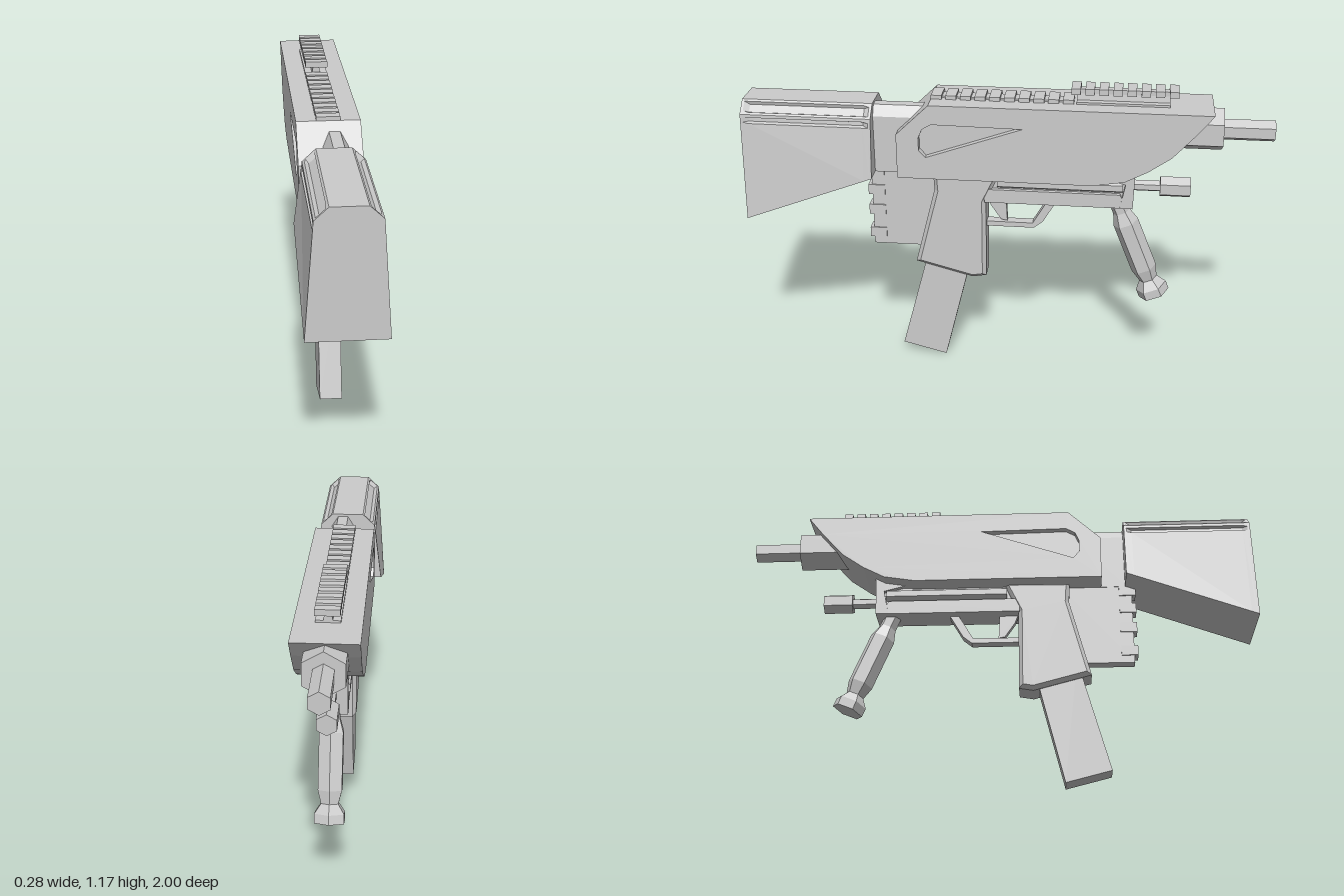
import * as THREE from 'three';

const mat = new THREE.MeshStandardMaterial({ color: 0xcccccc, flatShading: true });
const matDouble = new THREE.MeshStandardMaterial({ color: 0xcccccc, flatShading: true, side: THREE.DoubleSide });
const vecs = pts => pts.map(([a, b]) => new THREE.Vector2(a, b));

export function createModel() {
  const root = new THREE.Group();

  const add = (name, geo, x = 0, y = 0, z = 0, material = mat) => {
    const mesh = new THREE.Mesh(geo, material);
    mesh.name = name;
    mesh.position.set(x, y, z);
    root.add(mesh);
    return mesh;
  };
  const box = (name, w, h, d, x, y, z) => add(name, new THREE.BoxGeometry(w, h, d), x, y, z);

  // Side outline given as [z, y], extruded evenly to both sides of x = 0
  const slab = (name, pts, half, { bevel = 0, hole = null, x = 0 } = {}) => {
    const shape = new THREE.Shape(vecs(pts));
    if (hole) shape.holes.push(new THREE.Path(vecs(hole)));
    const geo = new THREE.ExtrudeGeometry(shape, {
      depth: 2 * (half - bevel), bevelEnabled: bevel > 0, bevelSegments: 1,
      bevelSize: bevel, bevelThickness: bevel, bevelOffset: -bevel
    });
    geo.translate(0, 0, bevel - half);
    geo.rotateY(-Math.PI / 2);
    return add(name, geo, x);
  };

  // Six-sided rod along z with corners at top and bottom
  const hexRod = (name, r, z0, z1, y) => {
    const geo = new THREE.CylinderGeometry(r, r, Math.abs(z1 - z0), 6);
    geo.rotateX(Math.PI / 2);
    return add(name, geo, 0, y, (z0 + z1) / 2);
  };

  // Closed solid through cross-sections { z, pts } with counter-clockwise points
  const loft = (name, sections) => {
    const n = sections[0].pts.length, pos = [], idx = [];
    sections.forEach(s => s.pts.forEach(([x, y]) => pos.push(x, y, s.z)));
    for (let s = 0; s < sections.length - 1; s++) {
      for (let i = 0; i < n; i++) {
        const a = s * n + i, b = s * n + (i + 1) % n;
        idx.push(a, b, b + n, a, b + n, a + n);
      }
    }
    const last = (sections.length - 1) * n;
    THREE.ShapeUtils.triangulateShape(vecs(sections[0].pts), []).forEach(([a, b, c]) => idx.push(c, b, a));
    THREE.ShapeUtils.triangulateShape(vecs(sections.at(-1).pts), []).forEach(([a, b, c]) => idx.push(a + last, b + last, c + last));
    const geo = new THREE.BufferGeometry();
    geo.setAttribute('position', new THREE.Float32BufferAttribute(pos, 3));
    geo.setIndex(idx);
    geo.computeVertexNormals();
    return add(name, geo);
  };

  // Main body with a wedge-shaped recess on each side
  slab('body', [[0.405, 0.825], [0.405, 1.0], [0.28, 1.12], [-0.77, 1.12], [-0.71, 1.045], [-0.625, 0.95],
    [-0.54, 0.89], [-0.455, 0.845], [-0.335, 0.825]], 0.116,
  { hole: [[0.32, 0.94], [0.32, 0.99], [0.305, 1.025], [0.27, 1.045], [-0.07, 1.04], [0.295, 0.912]] });
  box('recessFloor', 0.18, 0.16, 0.42, 0, 0.975, 0.13);

  // Neck joining body and stock
  const neck = [[-0.025, 0.825], [0.065, 0.825], [0.065, 1.05], [0.04, 1.09], [0, 1.09], [-0.025, 1.05]];
  loft('neck', [{ z: 0.3, pts: neck }, { z: 0.51, pts: neck }]);

  // Stock: two shallow grooves per side, closed at both ends
  const stockSection = (z, depth) => {
    const yb = 0.825 - (z - 0.5) * 0.38;
    const half = [[0.14, yb]];
    const sideX = y => 0.11 + 0.03 * (1.055 - y) / (1.055 - yb);
    half.push([sideX(1.02), 1.02], [sideX(1.025) - depth, 1.025], [sideX(1.038) - depth, 1.038], [sideX(1.043), 1.043]);
    half.push([0.11, 1.055]);
    const edge = (t, d) => [0.11 - 0.048 * t - d * 0.7, 1.055 + 0.045 * t - d * 0.7];
    half.push(edge(0.15, 0), edge(0.25, depth), edge(0.75, depth), edge(0.85, 0), [0.062, 1.1]);
    return { z, pts: [...half, ...half.map(([x, y]) => [-x, y]).reverse()] };
  };
  loft('stock', [[0.5, 0], [0.51, 0], [0.53, 0.013], [0.97, 0.013], [0.99, 0], [1, 0]].map(a => stockSection(...a)));

  // Barrel and collar
  hexRod('barrel', 0.041, -0.7, -1, 1.028);
  hexRod('barrelCollar', 0.083, -0.5, -0.81, 1.028);

  // Low rail along the top, and raised rail at the muzzle end
  box('lowRailBase', 0.05, 0.012, 0.53, 0, 1.12, 0.015);
  for (let i = 0; i < 10; i++) box('lowRailTooth', 0.086, 0.022, 0.04, 0, 1.124, 0.26 - i * 0.055);
  const stem = [[-0.018, 1.115], [0.018, 1.115], [0.011, 1.16], [-0.011, 1.16]];
  loft('raisedRailStem', [{ z: -0.61, pts: stem }, { z: -0.265, pts: stem }]);
  box('raisedRailFoot', 0.086, 0.012, 0.345, 0, 1.122, -0.4375);
  box('raisedRailBar', 0.03, 0.016, 0.36, 0, 1.162, -0.44);
  for (let i = 0; i < 8; i++) box('raisedRailTooth', 0.086, 0.023, 0.034, 0, 1.168, -0.262 - i * 0.0515);

  // Hand grip with bevelled edges, and the magazine below it
  slab('grip', [[0.28, 0.835], [0.275, 0.75], [0.355, 0.435], [0.13, 0.375], [0.075, 0.385], [0.075, 0.71], [0.02, 0.835]],
    0.06, { bevel: 0.015 });
  slab('magazine', [[0.3, 0.5], [0.125, 0.5], [0.245, 0.005], [0.42, 0.05]], 0.042);

  // Thin rear panel with ridges
  slab('rearPanel', [[0.525, 0.83], [0.525, 0.495], [0.3, 0.495], [0.24, 0.83]], 0.022);
  for (const y of [0.805, 0.73, 0.645, 0.545]) box('panelRidge', 0.054, 0.04, 0.065, 0, y, 0.507);

  // Lower frame, its front block and side rails
  slab('lowerFrame', [[0.08, 0.83], [0.08, 0.71], [-0.47, 0.71], [-0.47, 0.83]], 0.042);
  slab('frameSill', [[0.08, 0.765], [0.08, 0.71], [-0.47, 0.71], [-0.44, 0.765]], 0.058);
  slab('frontBlock', [[-0.44, 0.71], [-0.49, 0.71], [-0.495, 0.875], [-0.46, 0.86], [-0.36, 0.835], [-0.46, 0.81]], 0.06);
  for (const s of [-1, 1]) {
    const rail = new THREE.CylinderGeometry(0.024, 0.024, 0.48, 6);
    rail.rotateX(Math.PI / 2);
    add('sideRail', rail, s * 0.045, 0.795, -0.21);
  }

  // Trigger and guard
  slab('triggerGuard', [[0.08, 0.612], [0.08, 0.592], [-0.11, 0.592], [-0.145, 0.62], [-0.2, 0.715],
    [-0.165, 0.715], [-0.105, 0.612]], 0.02);
  slab('trigger', [[0.075, 0.72], [0, 0.72], [-0.005, 0.615], [0.02, 0.62], [0.06, 0.68]], 0.013);

  // Front pin with knob
  hexRod('frontPin', 0.022, -0.47, -0.6, 0.785);
  hexRod('frontPinKnob', 0.041, -0.59, -0.705, 0.785);

  // Slanted six-sided foregrip
  const foregrip = new THREE.LatheGeometry(vecs([[0, -0.41], [0.062, -0.41], [0.062, -0.375], [0.036, -0.34],
    [0.05, -0.29], [0.05, -0.08], [0.034, -0.03], [0.034, 0.03], [0, 0.03]]), 6);
  add('foregrip', foregrip, 0, 0.7, -0.437, matDouble).rotation.x = 0.385;

  return root;
}
